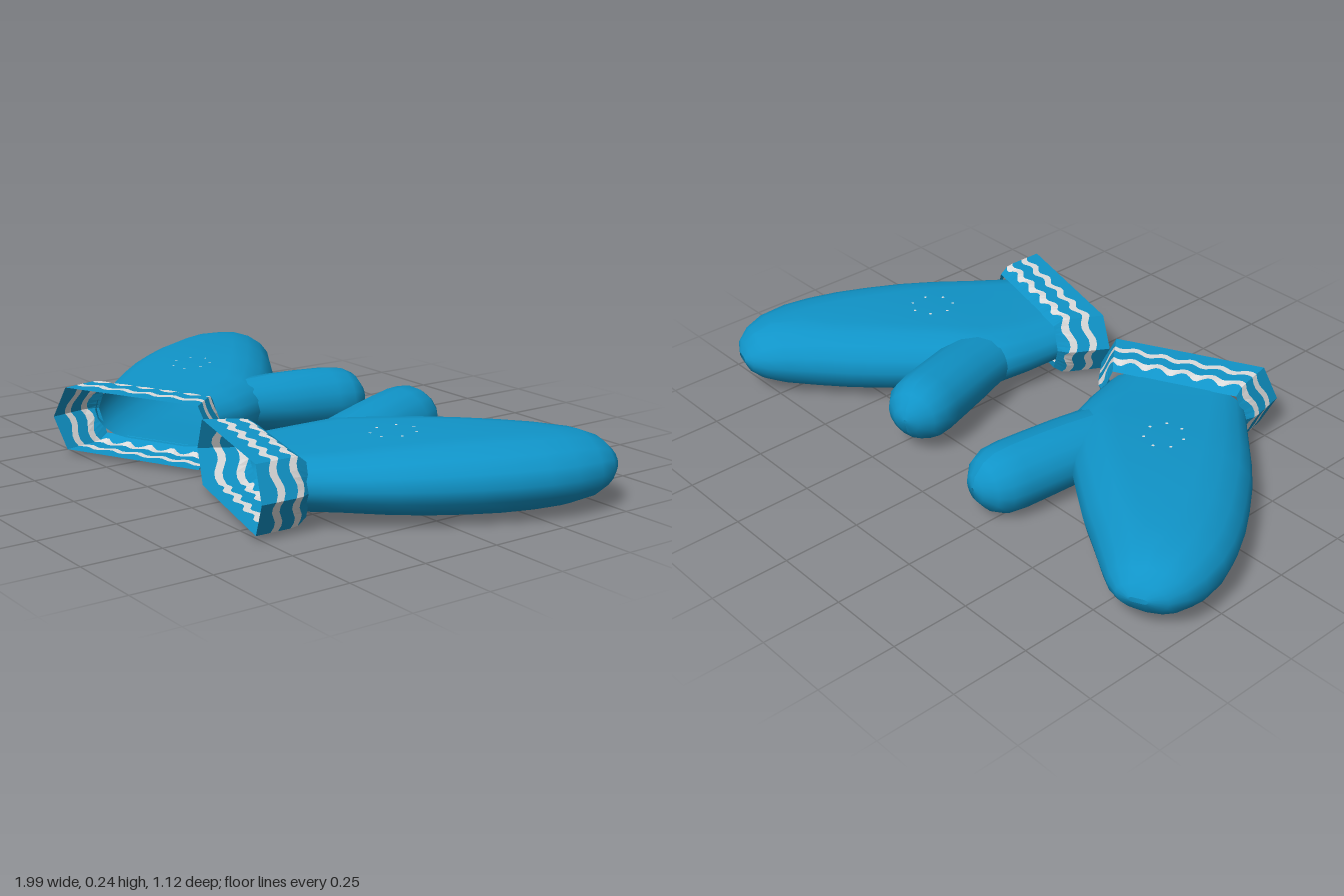
import * as THREE from 'three';

const blue = new THREE.MeshStandardMaterial({ color: 0x1094c8, side: THREE.DoubleSide });
blue.name = 'blue wool';
const white = new THREE.MeshStandardMaterial({ color: 0xdcdcdc, side: THREE.DoubleSide });
white.name = 'white wool';

// Skin a list of equal-length closed rings
function loft(rings, flat = false) {
  const n = rings[0].length, pos = [], idx = [];
  rings.forEach(r => r.forEach(p => pos.push(p[0], p[1], p[2])));
  for (let i = 0; i < rings.length - 1; i++) {
    for (let j = 0; j < n; j++) {
      const k = (j + 1) % n;
      const a = i * n + j, b = i * n + k, c = a + n, d = b + n;
      idx.push(a, c, b, b, c, d);
    }
  }
  let g = new THREE.BufferGeometry();
  g.setAttribute('position', new THREE.Float32BufferAttribute(pos, 3));
  g.setIndex(idx);
  if (flat) g = g.toNonIndexed();
  g.computeVertexNormals();
  return g;
}

// Pillow-like section: flat middle and rounded ends, as [across, up] pairs
function section(halfWidth, halfHeight, half = 9) {
  const r = Math.min(halfWidth, 1.5 * halfHeight), pts = [];
  for (const side of [1, -1]) {
    for (let i = 0; i < half; i++) {
      const t = -Math.PI / 2 + Math.PI * i / (half - 1);
      pts.push([side * (halfWidth - r + r * Math.cos(t)), side * halfHeight * Math.sin(t)]);
    }
  }
  return pts;
}

// Hand: distance from cuff edge, inner edge, outer edge, half thickness
const HAND = [
  [0.14, -0.225, 0.232, 0.08], [0.26, -0.25, 0.274, 0.086], [0.39, -0.265, 0.32, 0.097],
  [0.5, -0.22, 0.352, 0.104], [0.62, -0.168, 0.376, 0.109], [0.72, -0.115, 0.391, 0.111],
  [0.82, -0.06, 0.397, 0.11], [0.91, -0.002, 0.391, 0.108], [1.0, 0.054, 0.366, 0.098],
  [1.06, 0.095, 0.328, 0.075], [1.095, 0.132, 0.285, 0.042], [1.11, 0.175, 0.23, 0.008],
];

// Thumb: distance along its axis, half width, half thickness
const THUMB = [
  [-0.35, 0.113, 0.083], [-0.2, 0.113, 0.098], [-0.1, 0.112, 0.103], [0, 0.113, 0.105],
  [0.06, 0.108, 0.1], [0.1, 0.085, 0.08], [0.13, 0.045, 0.042], [0.138, 0.006, 0.006],
];

function handGeometry() {
  return loft(HAND.map(([v, lo, hi, h]) =>
    section((hi - lo) / 2, h).map(([u, y]) => [u + (lo + hi) / 2, y, -v])));
}

function thumbGeometry() {
  const du = -0.565, dv = 0.825;
  return loft(THUMB.map(([t, w, h]) => {
    const lift = 0.015 * THREE.MathUtils.clamp((t + 0.35) / 0.4, 0, 1);
    return section(w, h).map(([p, y]) =>
      [-0.339 + du * t + dv * p, y + lift, -(0.674 + dv * t - du * p)]);
  }));
}

// Ring around the six-sided cuff, with an optional zigzag in its height
function cuffRing(height, wave) {
  const corners = v => {
    const k = THREE.MathUtils.clamp((v - 0.13) / 0.03, 0, 1);
    const a = 0.296 - 0.26 * Math.min(v, 0.13) - 0.03 * k;
    const b = 0.102 - 0.022 * k, c = a - 0.05 + 0.02 * k;
    return [[a, 0], [c, b], [-c, b], [-a, 0], [-c, -b], [c, -b]];
  };
  const ring = [];
  for (let e = 0; e < 6; e++) {
    const waves = e % 3 === 1 ? 5 : 1, segs = waves * 6;
    for (let i = 0; i < segs; i++) {
      const f = i / segs;
      const v = height + wave * Math.sin(f * waves * Math.PI * 2);
      const pts = corners(v), p = pts[e], q = pts[(e + 1) % 6];
      ring.push([p[0] + (q[0] - p[0]) * f, p[1] + (q[1] - p[1]) * f, -v]);
    }
  }
  return ring;
}

function buildMitten(name) {
  const mitten = new THREE.Group();
  mitten.name = name;
  const add = (part, geometry, material) => {
    const m = new THREE.Mesh(geometry, material);
    m.name = part;
    mitten.add(m);
    return m;
  };
  add('hand', handGeometry(), blue);
  add('thumb', thumbGeometry(), blue);

  // Cuff bands alternate blue and white between wavy borders
  const borders = [[0, 0], [0.046, 0.009], [0.07, 0.009], [0.11, 0.009], [0.134, 0.009], [0.162, 0]];
  for (let i = 0; i < 5; i++) {
    const rings = [cuffRing(...borders[i]), cuffRing(...borders[i + 1])];
    add(i % 2 ? 'cuffStripe' : 'cuffBand', loft(rings, true), i % 2 ? white : blue);
  }

  // Tiny flecks in a ring on the back and palm
  for (const side of [1, -1]) {
    for (let i = 0; i < 7; i++) {
      const t = i / 7 * Math.PI * 2;
      const u = 0.07 + 0.06 * Math.cos(t), v = 0.48 + 0.07 * Math.sin(t);
      const fleck = add('fleck', new THREE.CircleGeometry(0.005, 6), white);
      fleck.position.set(u, side * (0.1045 + 0.05 * (v - 0.48)), -v);
      fleck.rotation.x = -side * Math.PI / 2;
    }
  }
  return mitten;
}

export function createModel() {
  const model = new THREE.Group();
  model.name = 'mittens';
  const left = buildMitten('leftMitten');
  left.position.set(0.365, 0.12, 0.45);
  left.rotation.y = -0.272;
  // The other mitten is the same one turned over
  const right = buildMitten('rightMitten');
  right.position.set(-0.23, 0.12, 0.42);
  right.rotation.set(0, 0.46, Math.PI);
  model.add(left, right);
  return model;
}
